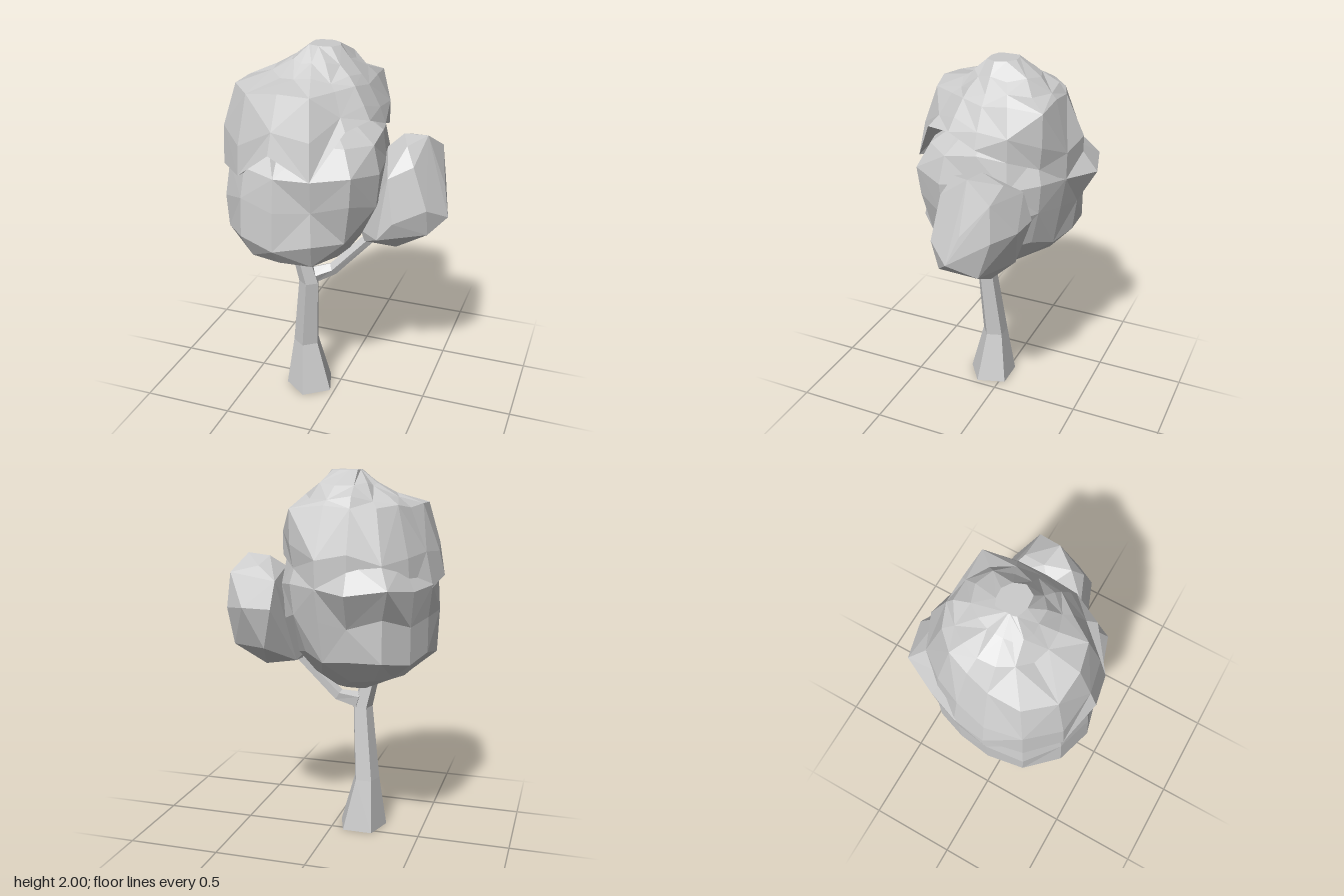
import * as THREE from 'three';
import { ConvexGeometry } from 'three/addons/geometries/ConvexGeometry.js';

const material = new THREE.MeshStandardMaterial({ color: 0xcccccc, flatShading: true });

// Closed skin over a stack of rings (bottom to top), each an array of [x, y, z].
function loft(rings) {
  const n = rings[0].length, pos = [];
  const middle = (ring) => [0, 1, 2].map((k) => ring.reduce((s, p) => s + p[k], 0) / n);
  const top = rings[rings.length - 1], topMid = middle(top), lowMid = middle(rings[0]);
  for (let j = 0; j < n; j++) {
    const k = (j + 1) % n;
    for (let i = 0; i + 1 < rings.length; i++) {
      const a = rings[i][j], b = rings[i][k], c = rings[i + 1][j], d = rings[i + 1][k];
      // alternate the diagonals for irregular facets
      if ((i + j) % 2) pos.push(...a, ...c, ...b, ...b, ...c, ...d);
      else pos.push(...a, ...c, ...d, ...a, ...d, ...b);
    }
    pos.push(...lowMid, ...rings[0][j], ...rings[0][k]);
    pos.push(...topMid, ...top[k], ...top[j]);
  }
  const g = new THREE.BufferGeometry();
  g.setAttribute('position', new THREE.Float32BufferAttribute(pos, 3));
  g.computeVertexNormals();
  return g;
}

// Crown ring from radii listed by angle (+x towards +z); y is one height or one per corner.
function ring(y, radii, wobble = 0) {
  return radii.map((r, j) => {
    const t = (j / radii.length) * Math.PI * 2;
    const h = Array.isArray(y) ? y[j] : y + wobble * Math.sin(j * 2.4 + y * 37);
    return [-0.15 + r * Math.cos(t), h, r * Math.sin(t)];
  });
}

// Five-sided wood section, leaning by an angle in degrees towards +x.
function section([x, y, z, r, lean = 0]) {
  const a = THREE.MathUtils.degToRad(-lean);
  return [0, 1, 2, 3, 4].map((j) => {
    const t = Math.PI / 2 + (j * Math.PI * 2) / 5, u = r * Math.cos(t);
    return [x + u * Math.cos(a), y + u * Math.sin(a), z + r * Math.sin(t)];
  });
}

export function createModel() {
  const tree = new THREE.Group();
  tree.name = 'tree';
  const add = (name, geometry) => {
    const mesh = new THREE.Mesh(geometry, material);
    mesh.name = name;
    tree.add(mesh);
  };

  // Trunk with a flared foot
  add('trunk', loft([
    [-0.157, 0, 0.08, 0.14], [-0.18, 0.29, 0.075, 0.075], [-0.145, 0.7, 0.11, 0.058],
    [-0.185, 0.86, 0.12, 0.05], [-0.2, 1.0, 0.12, 0.045],
  ].map(section)));

  // Bent side branch
  add('branch', loft([
    [-0.13, 0.735, 0.095, 0.05, 75], [-0.025, 0.77, 0.05, 0.036, 60],
    [0.165, 0.97, 0.02, 0.032, 43], [0.27, 1.09, 0, 0.03, 43],
  ].map(section)));

  // Lower crown, with a ledge sticking out at the back
  add('lowerCrown', loft([
    ring(0.87, [0.13, 0.15, 0.18, 0.18, 0.16, 0.13, 0.1, 0.08, 0.08, 0.11, 0.14, 0.13, 0.13, 0.13, 0.13]),
    ring(0.945, [0.23, 0.26, 0.33, 0.39, 0.41, 0.42, 0.36, 0.3, 0.27, 0.28, 0.31, 0.26, 0.23, 0.23, 0.23], 0.01),
    ring(1.06, [0.31, 0.34, 0.41, 0.45, 0.48, 0.49, 0.47, 0.42, 0.4, 0.41, 0.43, 0.38, 0.34, 0.33, 0.32], 0.02),
    ring(1.26, [0.39, 0.44, 0.47, 0.42, 0.47, 0.48, 0.48, 0.43, 0.4, 0.41, 0.43, 0.4, 0.38, 0.4, 0.4], 0.03),
    ring(1.43, [0.4, 0.46, 0.49, 0.45, 0.45, 0.45, 0.45, 0.42, 0.42, 0.43, 0.51, 0.5, 0.41, 0.42, 0.41], 0.015),
    ring(1.57, [0.38, 0.42, 0.41, 0.36, 0.38, 0.3, 0.3, 0.3, 0.3, 0.34, 0.38, 0.38, 0.35, 0.37, 0.38], 0.015),
    ring(1.7, Array(15).fill(0.2)),
  ]));

  // Upper crown: ragged overhanging rim, full sides, shelf at shoulder height and a small peak
  const rim = [1.62, 1.68, 1.66, 1.43, 1.56, 1.41, 1.41, 1.46, 1.42, 1.38, 1.41, 1.4, 1.42, 1.52, 1.57];
  const rimRadii = [0.39, 0.39, 0.42, 0.47, 0.49, 0.49, 0.48, 0.45, 0.42, 0.4, 0.42, 0.42, 0.41, 0.4, 0.4];
  add('upperCrown', loft([
    ring(rim.map((y) => y + 0.03), rimRadii.map((r) => r * 0.65)),
    ring(rim, rimRadii),
    ring(rim.map((y, j) => y + (0.42 + 0.08 * Math.sin(j * 2.4)) * (1.82 - y)),
      [0.36, 0.35, 0.36, 0.43, 0.45, 0.48, 0.47, 0.42, 0.38, 0.38, 0.41, 0.42, 0.41, 0.42, 0.4]),
    ring(1.825, [0.3, 0.29, 0.29, 0.36, 0.38, 0.42, 0.4, 0.33, 0.29, 0.3, 0.31, 0.32, 0.33, 0.42, 0.33], 0.01),
    ring(1.865, [0.26, 0.25, 0.24, 0.22, 0.21, 0.21, 0.21, 0.21, 0.22, 0.23, 0.25, 0.28, 0.3, 0.3, 0.28], 0.015),
    ring(1.93, [0.2, 0.19, 0.17, 0.13, 0.13, 0.12, 0.11, 0.1, 0.1, 0.11, 0.14, 0.19, 0.23, 0.24, 0.22], 0.01),
    ring(2, [0.15, 0.13, 0.08, 0.05, 0.04, 0.02, 0.01, 0.01, 0.01, 0.01, 0.02, 0.07, 0.09, 0.12, 0.14]),
  ]));

  // Small side crown on the branch
  add('sideCrown', new ConvexGeometry([
    [0.32, 1.55, -0.08], [0.45, 1.56, -0.06], [0.25, 1.49, -0.02], [0.5, 1.47, -0.2],
    [0.23, 1.44, -0.26], [0.42, 1.44, 0.1], [0.3, 1.38, 0.15], [0.24, 1.3, -0.31],
    [0.4, 1.3, -0.3], [0.52, 1.28, -0.21], [0.55, 1.3, -0.06], [0.5, 1.22, 0.12],
    [0.34, 1.15, 0.185], [0.587, 1.15, 0], [0.51, 1.07, -0.14], [0.5, 1.07, 0.08],
    [0.14, 1.04, 0.08], [0.16, 0.98, 0.08], [0.17, 0.99, -0.1], [0.33, 0.965, 0.06],
    [0.33, 0.97, -0.13], [0.3, 1.08, -0.25], [0.26, 1.05, 0.19], [0.2, 1.25, -0.02],
    [0.34, 1.51, -0.2], [0.37, 1.53, 0.05],
  ].map((p) => new THREE.Vector3(...p))));

  return tree;
}
